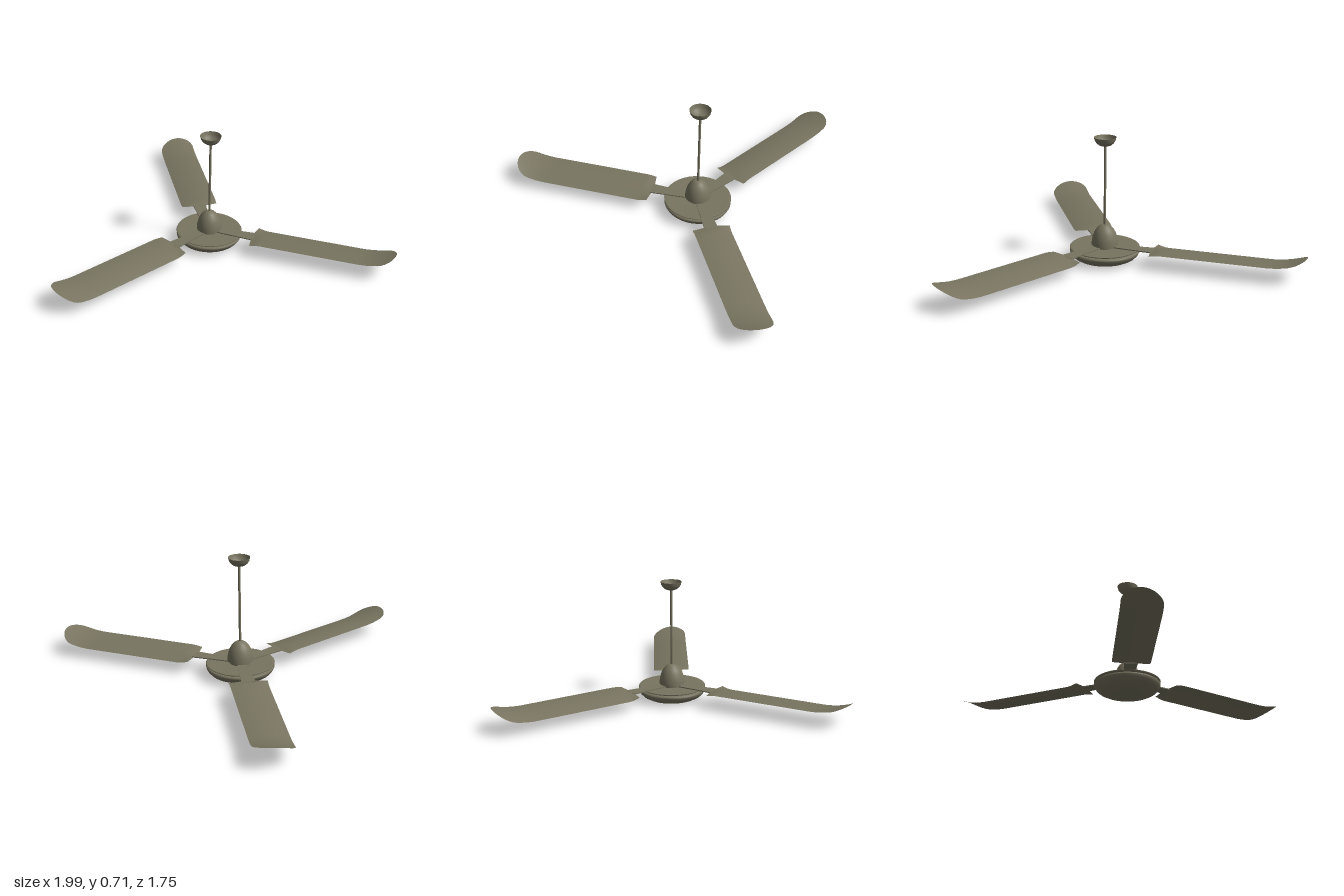
import * as THREE from 'three';

const metal = new THREE.MeshStandardMaterial({ color: 0x787460 });
metal.name = 'olive grey metal';
const sheet = new THREE.MeshStandardMaterial({ color: 0x787460, side: THREE.DoubleSide });
sheet.name = 'olive grey sheet';

function add(parent, name, geometry, material = metal) {
  const mesh = new THREE.Mesh(geometry, material);
  mesh.name = name;
  parent.add(mesh);
  return mesh;
}

// Turned part from [radius, height] pairs; each run of points is smooth
function turned(parent, name, points, material) {
  return add(parent, name, new THREE.LatheGeometry(points.map(([r, y]) => new THREE.Vector2(r, y)), 48), material);
}

// Pitched, cambered sheet with a rounded tip that sweeps upwards
function bladeGeometry() {
  const rows = [0.274, 0.284, 0.3, 0.32, 0.345, 0.5, 0.7, 0.9, 0.94, 0.98, 1.01, 1.04,
    1.06, 1.08, 1.095, 1.108, 1.118, 1.125, 1.129, 1.13];
  const columns = 12;
  const geometry = new THREE.PlaneGeometry(1, 1, columns, rows.length - 1);
  const p = geometry.attributes.position;
  for (let i = 0; i < p.count; i++) {
    const r = rows[Math.floor(i / (columns + 1))];
    const u = p.getX(i) * 2;
    const s = THREE.MathUtils.clamp((r - 1.04) / 0.09, 0, 1);
    const halfWidth = r < 0.28 ? 0.04 : 0.109 * Math.sqrt(1 - s * s);
    const x = u * halfWidth;
    const k = x / 0.109;
    const camber = THREE.MathUtils.smoothstep(r, 0.265, 0.34);
    const lift = Math.max(0, (r - 0.92) / 0.21);
    p.setXYZ(i, x, 0.083 + camber * (0.008 - 0.013 * k - 0.011 * k * k) + 0.044 * lift * lift, r);
  }
  geometry.computeVertexNormals();
  return geometry;
}

// Flat tapered bracket from the hub to the blade
function armGeometry() {
  const shape = new THREE.Shape([[-0.024, -0.05], [-0.04, -0.285], [0.04, -0.285], [0.024, -0.05]]
    .map(([x, y]) => new THREE.Vector2(x, y)));
  return new THREE.ExtrudeGeometry(shape, { depth: 0.006, bevelEnabled: false })
    .rotateX(-Math.PI / 2).translate(0, 0.079, 0);
}

export function createModel() {
  const fan = new THREE.Group();
  fan.name = 'ceilingFan';
  fan.position.z = -0.255;

  // Motor housing: rounded bowl, groove and top plate
  turned(fan, 'motorBowl', [[0, 0], [0.07, 0.001], [0.12, 0.004], [0.15, 0.011], [0.175, 0.024],
    [0.19, 0.04], [0.197, 0.054], [0.197, 0.062], [0.19, 0.067], [0.175, 0.068]]);
  turned(fan, 'motorGroove', [[0.178, 0.064], [0.178, 0.076]]);
  turned(fan, 'motorTopPlate', [[0.175, 0.072], [0.192, 0.073], [0.198, 0.077], [0.195, 0.081],
    [0.18, 0.08], [0.12, 0.078], [0, 0.078]]);

  // Hub collar and dome
  add(fan, 'hubCollar', new THREE.CylinderGeometry(0.063, 0.063, 0.02, 40)).position.y = 0.085;
  turned(fan, 'hubBase', [[0, 0.091], [0.075, 0.091]]).scale.y = 1;
  turned(fan, 'hubDome', [[0.075, 0.091], [0.074, 0.11], [0.07, 0.132], [0.062, 0.158],
    [0.05, 0.18], [0.034, 0.198], [0.018, 0.208], [0, 0.21]], sheet);

  // Down rod and open ceiling cup
  add(fan, 'downRod', new THREE.CylinderGeometry(0.007, 0.007, 0.48, 16)).position.y = 0.435;
  turned(fan, 'ceilingCup', [[0, 0.66], [0.018, 0.661], [0.034, 0.667], [0.048, 0.678],
    [0.057, 0.692], [0.062, 0.711]], sheet);

  // Three blades with their arms
  const blade = bladeGeometry();
  const arm = armGeometry();
  for (let i = 0; i < 3; i++) {
    const assembly = new THREE.Group();
    assembly.name = 'bladeAssembly' + (i + 1);
    assembly.rotation.y = i * Math.PI * 2 / 3;
    add(assembly, 'bladeArm', arm);
    add(assembly, 'blade', blade, sheet);
    fan.add(assembly);
  }

  const model = new THREE.Group();
  model.name = 'model';
  model.add(fan);
  return model;
}
